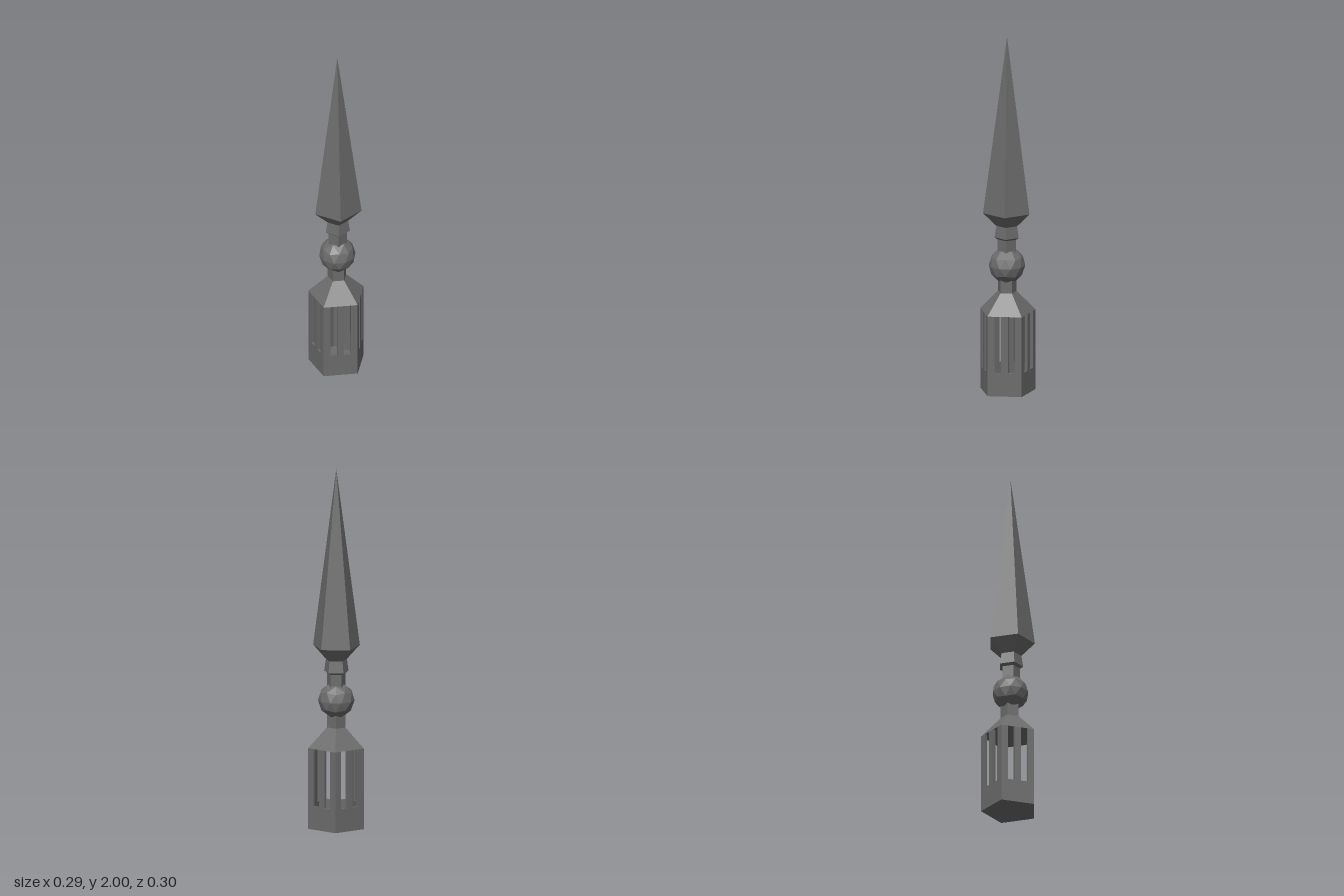
import * as THREE from 'three';

const SIDES = 5;
const AXIS_X = 0.012; // the pentagons' centre, so the bounds are centred on x = 0

export function createModel() {
  const model = new THREE.Group();
  model.name = 'spireLantern';
  const stone = new THREE.MeshStandardMaterial({ color: 0x6b6b6b, flatShading: true });
  stone.name = 'darkStone';

  const add = (name, geometry, parent = model) => {
    const mesh = new THREE.Mesh(geometry, stone);
    mesh.name = name;
    parent.add(mesh);
    return mesh;
  };
  // Five-sided turned part; profile of [radius, height] from bottom to top
  const turned = (name, profile, phi) =>
    add(name, new THREE.LatheGeometry(profile.map(([r, y]) => new THREE.Vector2(r, y)), SIDES, phi));

  const lowerPhi = -Math.PI / 2; // a corner points to -x
  const upperPhi = Math.PI / 2; // a corner points to +x

  // Hollow lantern: floor and five walls, each with two tall slots
  const radius = 0.16, eave = 0.45, sill = 0.13, thick = 0.014;
  turned('lanternFloor', [[0, 0], [radius, 0], [radius, 0.01], [0, 0.01]], lowerPhi);

  const half = radius * Math.sin(Math.PI / SIDES);
  const at = (i) => -half + (2 * half * i) / 5;
  const outline = [
    [0, 0], [5, 0], [5, eave], [4, eave], [4, sill], [3, sill],
    [3, eave], [2, eave], [2, sill], [1, sill], [1, eave], [0, eave],
  ].map(([i, y]) => new THREE.Vector2(at(i), y));
  const wall = new THREE.ExtrudeGeometry(new THREE.Shape(outline), { depth: thick, bevelEnabled: false });
  wall.translate(0, 0, radius * Math.cos(Math.PI / SIDES) - thick);

  const walls = new THREE.Group();
  walls.name = 'lanternWalls';
  model.add(walls);
  for (let k = 0; k < SIDES; k++) {
    add('lanternWall', wall, walls).rotation.y = Math.PI / 2 + (k * 2 * Math.PI) / SIDES;
  }

  // Sloped roof and the neck below the ball
  turned('lanternRoof', [[0, eave], [radius, eave], [0.053, 0.56], [0, 0.56]], lowerPhi);
  turned('lowerNeck', [[0.053, 0.56], [0.053, 0.66]], lowerPhi);

  // Faceted ball with a corner at each pole
  const ball = new THREE.IcosahedronGeometry(0.1, 1);
  ball.rotateZ(Math.atan(2 / (1 + Math.sqrt(5))));
  add('ball', ball).position.y = 0.71;

  // Upper neck, flared collar and spire
  turned('upperNeck', [[0.053, 0.76], [0.053, 0.865]], upperPhi);
  turned('collar', [[0, 0.858], [0.053, 0.858], [0.07, 0.87], [0.06, 0.935]], upperPhi);
  turned('spire', [[0.06, 0.935], [0.134, 1.01], [0, 2]], upperPhi);

  model.children.forEach((part) => { part.position.x = AXIS_X; });
  return model;
}
